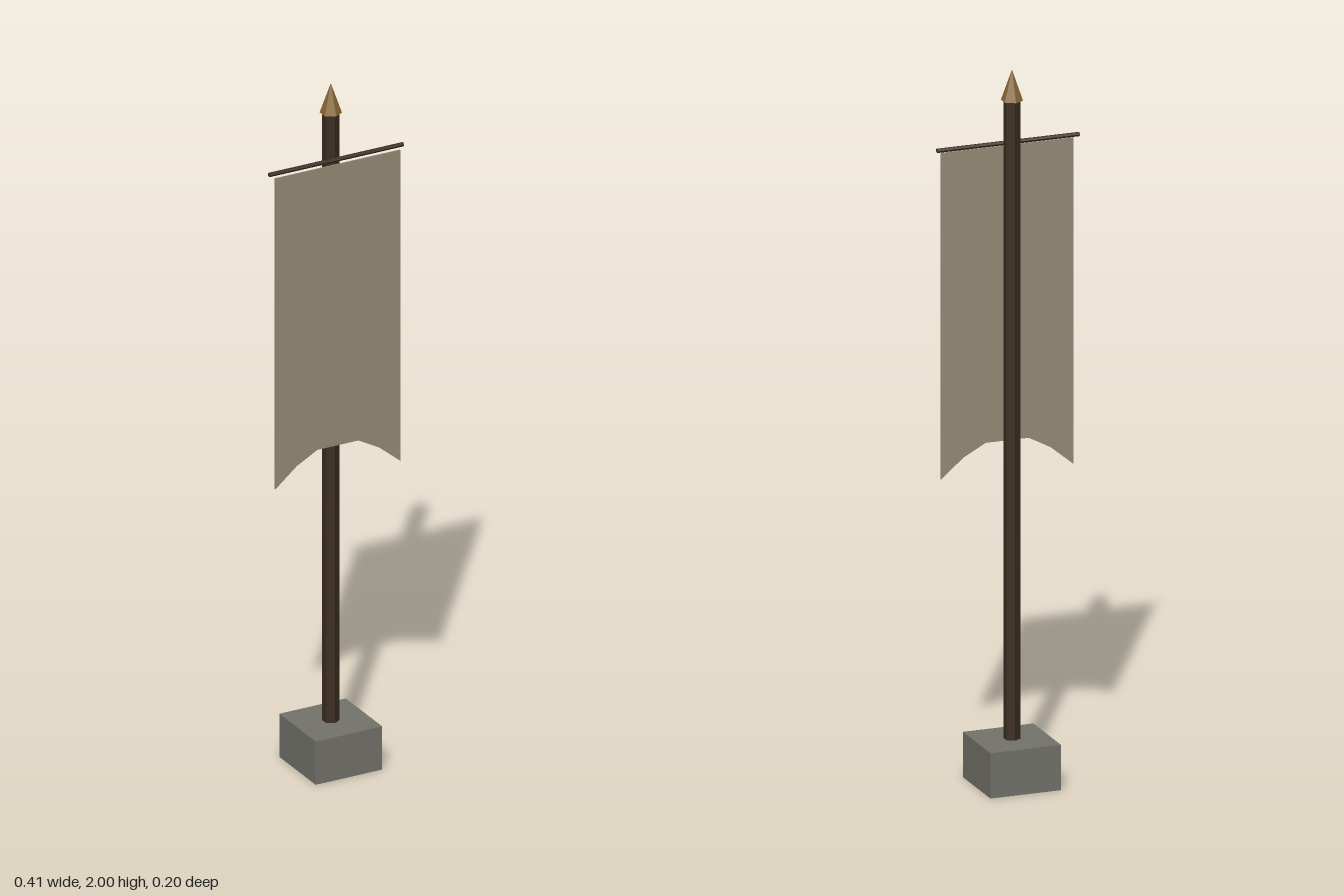
import * as THREE from 'three';

const material = (name, color, flatShading = true) => {
  const m = new THREE.MeshStandardMaterial({ color, flatShading });
  m.name = name;
  return m;
};

export function createModel() {
  const group = new THREE.Group();
  group.name = 'bannerStand';
  const stone = material('stone grey', 0x73726b);
  const wood = material('dark wood', 0x3d2e22);
  const cloth = material('tan cloth', 0x968c76);
  const brass = material('aged brass', 0x8a6936);

  const add = (name, geometry, mat, x, y, z) => {
    const mesh = new THREE.Mesh(geometry, mat);
    mesh.name = name;
    mesh.position.set(x, y, z);
    group.add(mesh);
    return mesh;
  };

  // Stone foot
  add('base', new THREE.BoxGeometry(0.202, 0.127, 0.202), stone, 0, 0.0635, 0);

  // Six-sided pole and spear tip
  add('pole', new THREE.CylinderGeometry(0.023, 0.023, 1.79, 6), wood, 0, 1.02, 0);
  add('finial', new THREE.ConeGeometry(0.03, 0.086, 6), brass, 0, 1.957, 0);

  // Crossbar in front of the pole
  const bar = add('crossbar', new THREE.CylinderGeometry(0.006, 0.006, 0.408, 6), wood, 0, 1.787, 0.029);
  bar.rotation.z = Math.PI / 2;

  // Hanging cloth with an arched lower edge
  const shape = new THREE.Shape([
    [-0.19, 1.777], [-0.19, 0.863], [-0.125, 0.917], [-0.062, 0.951],
    [0.062, 0.951], [0.125, 0.917], [0.19, 0.863], [0.19, 1.777],
  ].map(([x, y]) => new THREE.Vector2(x, y)));
  add('banner', new THREE.ExtrudeGeometry(shape, { depth: 0.004, bevelEnabled: false }), cloth, 0, 0, 0.035);

  return group;
}
